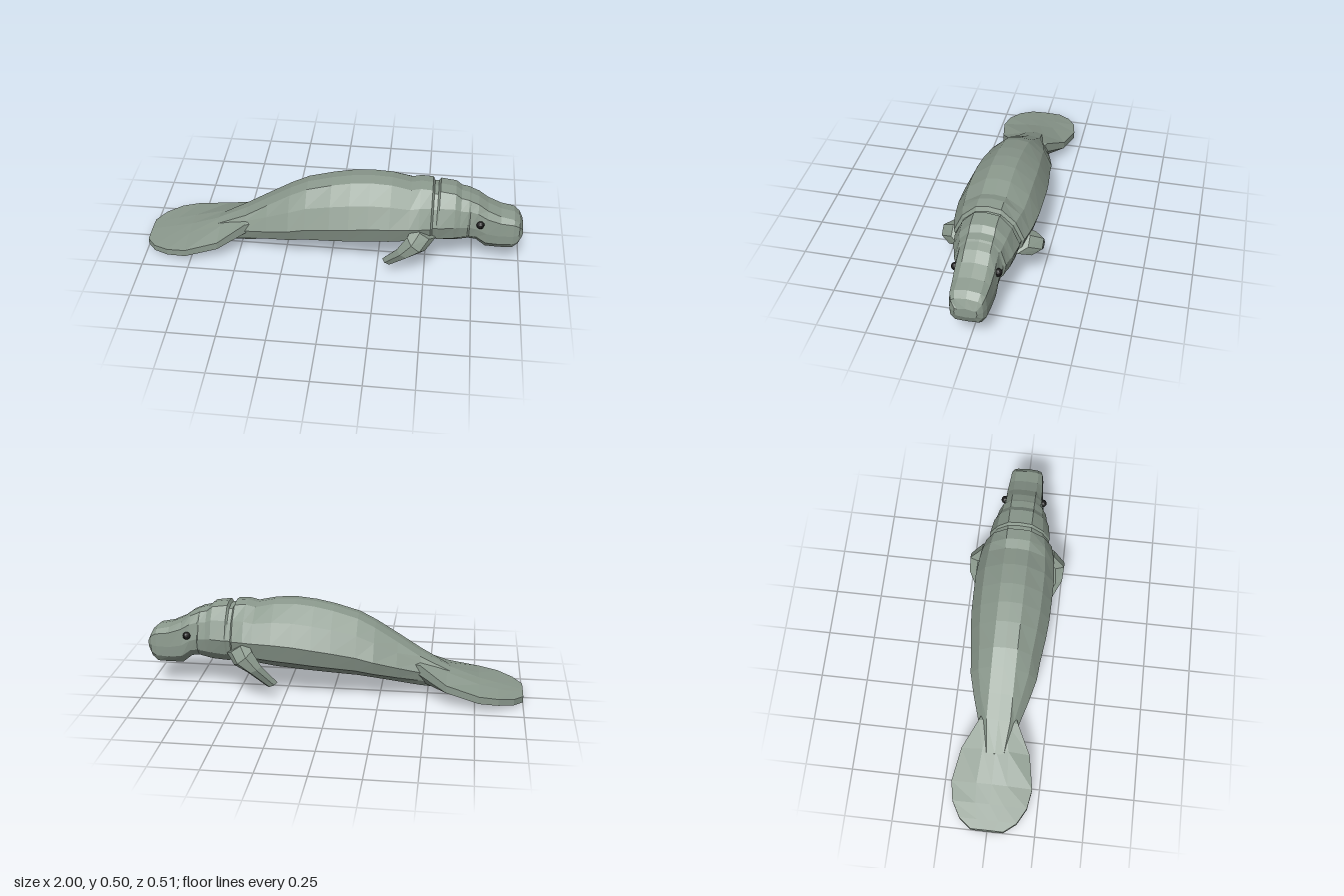
import * as THREE from 'three';

// Skin a list of closed rings into a faceted, capped solid with outward faces
function loft(rings) {
  const tris = [];
  const n = rings[0].length;
  for (let i = 0; i < rings.length - 1; i++) {
    for (let j = 0; j < n; j++) {
      const k = (j + 1) % n;
      const a = rings[i][j], b = rings[i][k], c = rings[i + 1][k], d = rings[i + 1][j];
      tris.push([a, b, d], [b, c, d]);
    }
  }
  const cap = (ring, flip) => {
    const mid = ring.reduce((s, p) => s.add(p), new THREE.Vector3()).divideScalar(n);
    ring.forEach((p, j) => {
      const q = ring[(j + 1) % n];
      tris.push(flip ? [mid, q, p] : [mid, p, q]);
    });
  };
  cap(rings[0], true);
  cap(rings[rings.length - 1], false);
  let volume = 0;
  for (const [a, b, c] of tris) volume += a.dot(b.clone().cross(c));
  const points = tris.flatMap(([a, b, c]) => (volume < 0 ? [a, c, b] : [a, b, c]));
  const geometry = new THREE.BufferGeometry().setFromPoints(points);
  geometry.computeVertexNormals();
  return geometry;
}

// Complete a half outline of [z, y] (top centre to bottom centre) into a ring at x
function mirroredRing(x, half) {
  const left = half.map(([z, y]) => new THREE.Vector3(x, y, z));
  const right = half.slice(1, -1).reverse().map(([z, y]) => new THREE.Vector3(x, y, -z));
  return [...left, ...right];
}

// Body cross-section with flat back and belly strips; square = 1 gives a boxier shape
function bodyRing([x, bottom, top, w, mid, square]) {
  const strip = Math.min(0.0625, w * 0.7);
  const lerp = THREE.MathUtils.lerp;
  return mirroredRing(x, [
    [0, top], [strip, top - 0.009],
    [w * lerp(0.75, 0.94, square), lerp(mid, top, lerp(0.57, 0.7, square))],
    [w, mid],
    [w * lerp(0.86, 0.97, square), lerp(bottom, mid, 0.44)],
    [strip, bottom + 0.003], [0, bottom],
  ]);
}

// x, bottom, top, half width, height of widest point, squareness
const torso = [
  [-0.62, 0.05, 0.160, 0.065, 0.12, 0],
  [-0.46, 0.07, 0.242, 0.105, 0.16, 0],
  [-0.34, 0.085, 0.318, 0.143, 0.195, 0],
  [-0.22, 0.10, 0.392, 0.175, 0.23, 0],
  [-0.13, 0.11, 0.438, 0.183, 0.255, 0],
  [0.00, 0.117, 0.475, 0.200, 0.28, 0],
  [0.10, 0.123, 0.495, 0.208, 0.295, 0],
  [0.20, 0.13, 0.505, 0.210, 0.308, 0],
  [0.31, 0.14, 0.50, 0.210, 0.315, 0],
  [0.41, 0.155, 0.478, 0.201, 0.315, 0],
];
// Neck folds, ending in the head
const neckAndHead = [
  [0.46, 0.155, 0.49, 0.193, 0.315, 0],
  [0.52, 0.152, 0.486, 0.178, 0.312, 0],
  [0.53, 0.166, 0.464, 0.164, 0.31, 0],
  [0.55, 0.164, 0.464, 0.160, 0.31, 0],
  [0.56, 0.160, 0.481, 0.164, 0.31, 0],
  [0.64, 0.166, 0.470, 0.150, 0.31, 0.1],
  [0.67, 0.172, 0.446, 0.137, 0.305, 0.2],
  [0.71, 0.182, 0.438, 0.128, 0.30, 0.3],
  [0.72, 0.184, 0.432, 0.116, 0.295, 0.4],
  [0.76, 0.180, 0.415, 0.109, 0.28, 0.6],
  [0.81, 0.140, 0.378, 0.104, 0.25, 0.9],
  [0.88, 0.137, 0.346, 0.097, 0.235, 1],
  [0.95, 0.140, 0.332, 0.091, 0.235, 1],
  [0.98, 0.165, 0.306, 0.080, 0.235, 1],
  [1.00, 0.208, 0.262, 0.055, 0.235, 1],
];

// x, half width, centre top, centre bottom, edge top, edge bottom
const fluke = [
  [-1.00, 0.085, 0.048, 0.002, 0.045, 0.012],
  [-0.95, 0.150, 0.060, 0.006, 0.055, 0.022],
  [-0.87, 0.195, 0.080, 0.014, 0.070, 0.035],
  [-0.77, 0.212, 0.105, 0.025, 0.085, 0.047],
  [-0.60, 0.180, 0.165, 0.044, 0.125, 0.085],
  [-0.46, 0.104, 0.220, 0.070, 0.200, 0.145],
  [-0.40, 0.080, 0.235, 0.085, 0.200, 0.155],
];
function flukeRing([x, w, top, bottom, edgeTop, edgeBottom]) {
  return mirroredRing(x, [
    [0, top], [w * 0.38, top * 0.75 + edgeTop * 0.25], [w, edgeTop],
    [w, edgeBottom], [w * 0.38, bottom * 0.8 + edgeBottom * 0.2], [0, bottom],
  ]);
}

// Rear edge x, y; front edge x, y; outer z; inner z
const flipper = [
  [0.44, 0.318, 0.55, 0.24, 0.195, 0.10],
  [0.405, 0.278, 0.50, 0.20, 0.257, 0.165],
  [0.355, 0.20, 0.43, 0.165, 0.253, 0.185],
  [0.28, 0.095, 0.335, 0.07, 0.198, 0.148],
];
function flipperRing([ax, ay, bx, by, outer, inner], side) {
  const at = (t, z) => new THREE.Vector3(
    THREE.MathUtils.lerp(ax, bx, t), THREE.MathUtils.lerp(ay, by, t), z * side);
  const mid = (outer + inner) / 2;
  return [at(0, mid), at(0.25, outer), at(0.7, outer), at(1, mid), at(0.7, inner), at(0.25, inner)];
}

export function createModel() {
  const skin = new THREE.MeshStandardMaterial({ color: 0x8c9a8e });
  skin.name = 'grey green skin';
  skin.flatShading = true;
  const black = new THREE.MeshStandardMaterial({ color: 0x1c1c1c });
  black.name = 'eye black';
  black.flatShading = true;

  const model = new THREE.Group();
  model.name = 'manatee';
  const add = (name, geometry, material) => {
    const mesh = new THREE.Mesh(geometry, material);
    mesh.name = name;
    model.add(mesh);
    return mesh;
  };

  add('body', loft([...torso, ...neckAndHead].map(bodyRing)), skin);
  add('tailFluke', loft(fluke.map(flukeRing)), skin);

  // Paired flippers and eyes
  for (const [name, side] of [['front', 1], ['back', -1]]) {
    add(`${name}Flipper`, loft(flipper.map((s) => flipperRing(s, side))), skin);
    const eye = add(`${name}Eye`, new THREE.SphereGeometry(0.021, 10, 8), black);
    eye.position.set(0.775, 0.308, side * 0.104);
  }
  return model;
}
